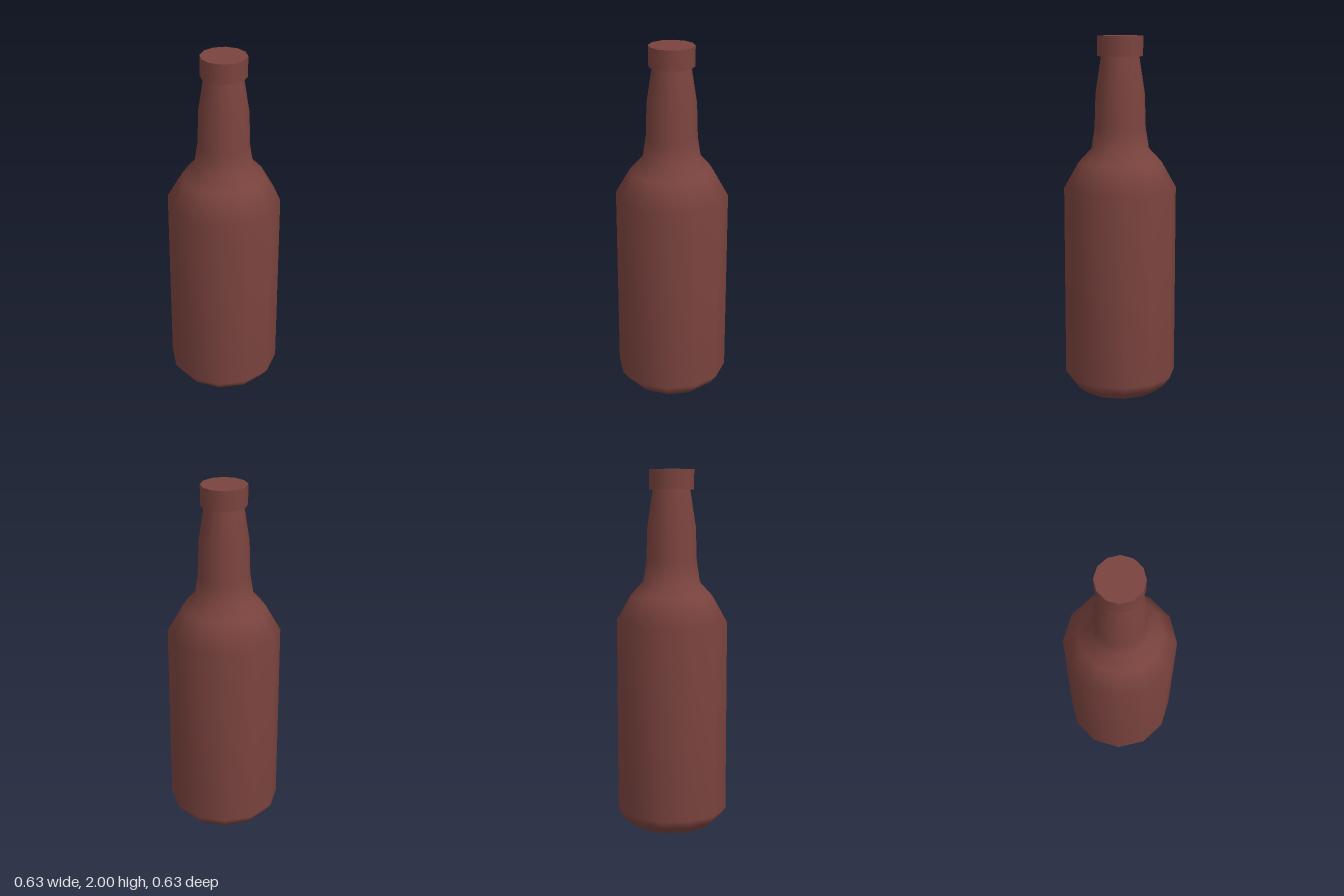
import * as THREE from 'three';

const SIDES = 12;

export function createModel() {
  const model = new THREE.Group();
  const glass = new THREE.MeshStandardMaterial({ color: 0x7a433e });

  function add(name, geometry, y = 0) {
    const mesh = new THREE.Mesh(geometry, glass);
    mesh.name = name;
    mesh.position.y = y;
    model.add(mesh);
  }

  // Smooth body: bevelled foot, straight wall, shoulder and tapering neck
  const profile = [
    [0.225, 0], [0.275, 0.04], [0.313, 0.093], [0.313, 1.165], [0.23, 1.31],
    [0.16, 1.385], [0.142, 1.5], [0.136, 1.69], [0.105, 1.89],
  ].map(([r, y]) => new THREE.Vector2(r, y));
  add('bottleBody', new THREE.LatheGeometry(profile, SIDES));

  // Flat underside with a hard edge
  add('base', new THREE.CircleGeometry(0.225, SIDES).rotateX(Math.PI / 2));

  // Cap overhanging the neck
  add('cap', new THREE.CylinderGeometry(0.126, 0.126, 0.11, SIDES), 1.945);

  return model;
}
